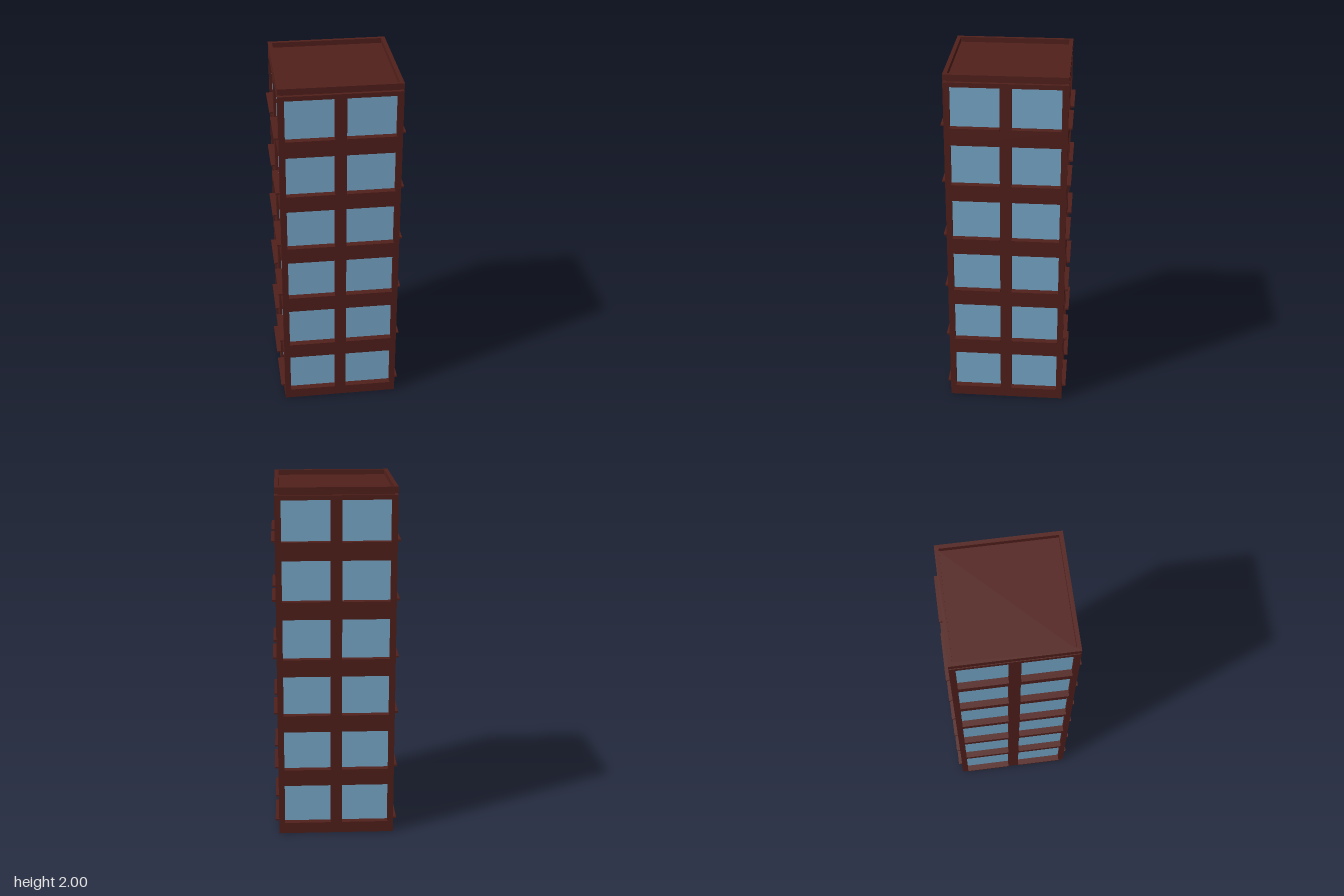
import * as THREE from 'three';

const HALF = 0.328, WALL = 0.022, WALL_TOP = 1.957;
const FLOORS = 6, PITCH = 0.327, SILL_Y = 0.065;
const WIN_W = 0.262, WIN_H = 0.232, WIN_X = 0.163;

const brick = new THREE.MeshStandardMaterial({ color: 0x52201b });
const glass = new THREE.MeshStandardMaterial({ color: 0x7aadcf });

function rect(target, x0, y0, x1, y1) {
  target.moveTo(x0, y0);
  target.lineTo(x1, y0);
  target.lineTo(x1, y1);
  target.lineTo(x0, y1);
  target.closePath();
  return target;
}

function box(name, w, h, d, x, y, z, material) {
  const mesh = new THREE.Mesh(new THREE.BoxGeometry(w, h, d), material);
  mesh.position.set(x, y, z);
  mesh.name = name;
  return mesh;
}

// One side of the tower: pierced wall, panes and sills, facing +z
function createFacade() {
  const facade = new THREE.Group();
  const outline = rect(new THREE.Shape(), -HALF, 0, HALF - WALL, WALL_TOP);
  for (let floor = 0; floor < FLOORS; floor++) {
    const y = SILL_Y + floor * PITCH;
    for (const x of [-WIN_X, WIN_X]) {
      outline.holes.push(rect(new THREE.Path(), x - WIN_W / 2, y, x + WIN_W / 2, y + WIN_H));
      facade.add(box('windowPane', WIN_W, WIN_H, 0.004, x, y + WIN_H / 2, HALF - 0.017, glass));
      facade.add(box('windowSill', WIN_W, 0.01, 0.036, x, y + 0.005, HALF + 0.003, brick));
    }
  }
  const wall = new THREE.Mesh(
    new THREE.ExtrudeGeometry(outline, { depth: WALL, bevelEnabled: false }), brick);
  wall.position.z = HALF - WALL;
  wall.name = 'wall';
  facade.add(wall);
  return facade;
}

export function createModel() {
  const tower = new THREE.Group();
  tower.name = 'tower';

  // Four equal sides, meeting at the corners in pinwheel fashion
  ['front', 'left', 'back', 'right'].forEach((side, i) => {
    const facade = createFacade();
    facade.name = side + 'Facade';
    facade.rotation.y = i * Math.PI / 2;
    tower.add(facade);
  });

  // Roof slab, set in to leave a shadow groove under the parapet
  const inner = HALF - WALL;
  tower.add(box('roofSlab', 2 * inner + 0.008, 0.022, 2 * inner + 0.008, 0, 1.961, 0, brick));

  // Parapet ring around the roof edge
  const ring = rect(new THREE.Shape(), -HALF, -HALF, HALF, HALF);
  ring.holes.push(rect(new THREE.Path(), -inner, -inner, inner, inner));
  const parapet = new THREE.Mesh(
    new THREE.ExtrudeGeometry(ring, { depth: 0.033, bevelEnabled: false }), brick);
  parapet.rotation.x = -Math.PI / 2;
  parapet.position.y = 1.967;
  parapet.name = 'parapet';
  tower.add(parapet);

  return tower;
}
